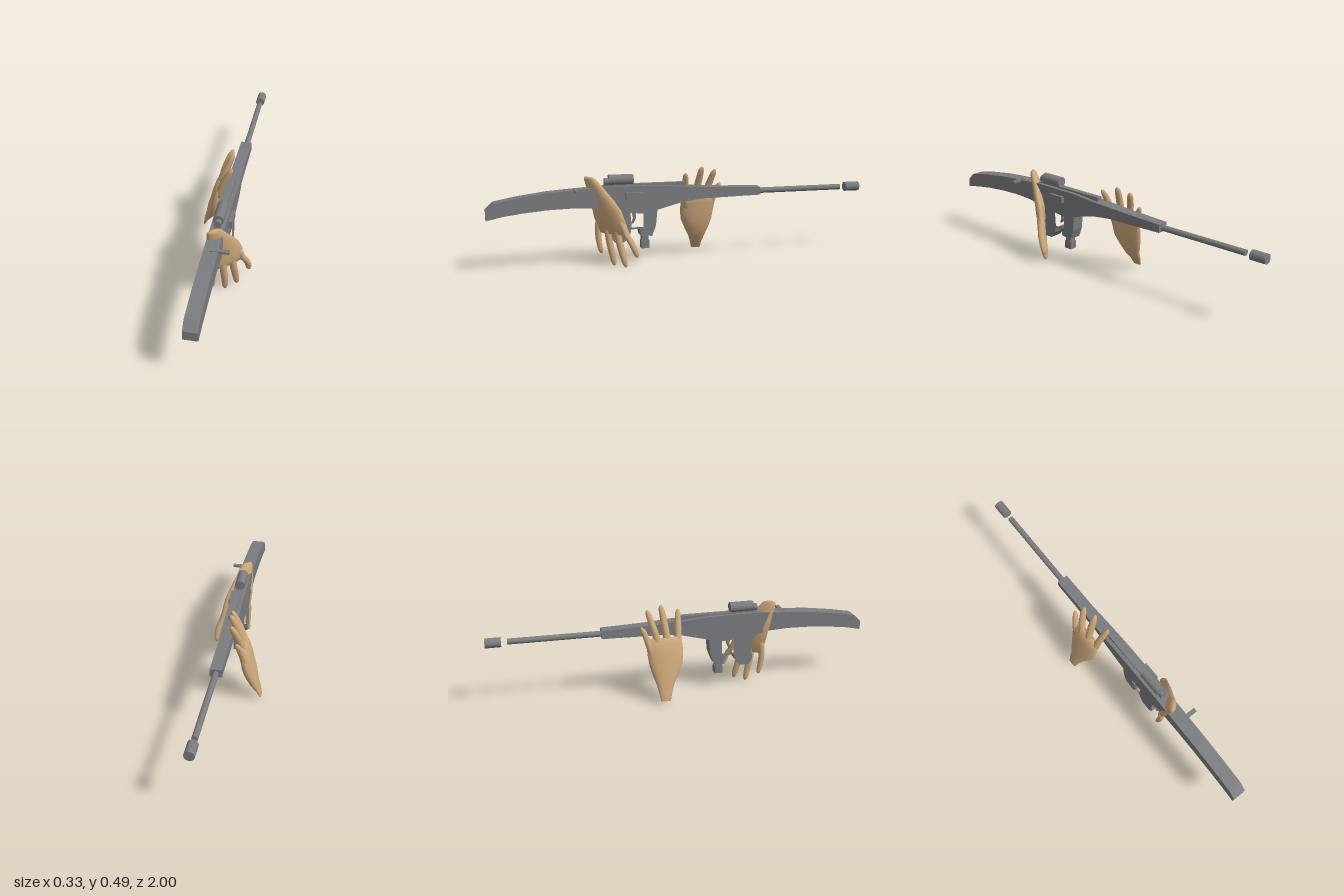
import * as THREE from 'three';

export function createModel() {
  const root = new THREE.Group();
  const metal = new THREE.MeshStandardMaterial({ color: 0x7b7c7f });
  metal.name = 'gunmetal grey';
  const skin = new THREE.MeshStandardMaterial({ color: 0xcda87b });
  skin.name = 'skin tan';
  const CX = 0.018; // centre line of the rifle

  const add = (parent, name, geo, mat, x = 0, y = 0, z = 0) => {
    const m = new THREE.Mesh(geo, mat);
    m.name = name;
    m.position.set(x, y, z);
    parent.add(m);
    return m;
  };
  const box = (name, x0, x1, y0, y1, z0, z1) => add(rifle, name,
    new THREE.BoxGeometry(x1 - x0, y1 - y0, z1 - z0), metal, (x0 + x1) / 2, (y0 + y1) / 2, (z0 + z1) / 2);
  const rod = (name, r, y, z0, z1) => add(rifle, name,
    new THREE.CylinderGeometry(r, r, z1 - z0, 20).rotateX(Math.PI / 2), metal, CX, y, (z0 + z1) / 2);
  // side profile of [z, y] points, extruded across x
  const slab = (name, pts, x0, x1, hole) => {
    const shape = new THREE.Shape(pts.map(p => new THREE.Vector2(...p)));
    if (hole) shape.holes.push(new THREE.Path(hole.map(p => new THREE.Vector2(...p))));
    const g = new THREE.ExtrudeGeometry(shape, { depth: x1 - x0, bevelEnabled: false });
    g.rotateY(-Math.PI / 2).translate(x1, 0, 0);
    return add(rifle, name, g, metal);
  };

  const rifle = new THREE.Group();
  rifle.name = 'rifle';
  root.add(rifle);

  // stock, receiver, grip and magazine well in one outline with the trigger opening
  const body = slab('stockAndReceiver', [
    [1, 0.27], [0.92, 0.287], [0.82, 0.3], [0.7, 0.31], [0.58, 0.313], [0.48, 0.308], [0.41, 0.295],
    [0.385, 0.27], [0.375, 0.22], [0.385, 0.16], [0.365, 0.125], [0.315, 0.125], [0.287, 0.16], [0.28, 0.19],
    [0.235, 0.19], [0.23, 0.155], [0.17, 0.15], [0.15, 0.205], [0.142, 0.285],
    [0, 0.322], [-0.1, 0.332], [-0.42, 0.338],
    [-0.42, 0.38], [-0.2, 0.388], [0, 0.4], [0.15, 0.412], [0.4, 0.414], [0.55, 0.405], [0.7, 0.395],
    [0.85, 0.375], [0.96, 0.355], [1, 0.318],
  ], -0.017, 0.053, [[0.215, 0.2], [0.215, 0.27], [0.283, 0.275], [0.278, 0.2]]);
  // the fore-end is a little slimmer than the stock
  const p = body.geometry.attributes.position;
  for (let i = 0; i < p.count; i++) {
    if (p.getZ(i) < -0.05) p.setX(i, CX + (p.getX(i) - CX) * 0.84);
  }

  slab('trigger', [[0.25, 0.275], [0.268, 0.275], [0.262, 0.24], [0.272, 0.215], [0.262, 0.215], [0.25, 0.24]], 0.01, 0.026);
  box('magazine', 0, 0.036, 0.12, 0.16, 0.186, 0.22);
  box('magazineFoot', -0.003, 0.039, 0.083, 0.125, 0.181, 0.224);
  box('ejectionCover', 0.05, 0.07, 0.346, 0.382, 0.215, 0.307);
  box('boltHandle', 0.035, 0.103, 0.395, 0.406, 0.545, 0.566);
  box('boltPlate', 0.012, 0.036, 0.398, 0.408, 0.5, 0.57);
  box('sightRail', 0.003, 0.033, 0.4, 0.421, -0.01, 0.41);
  rod('scope', 0.027, 0.444, 0.262, 0.388);
  rod('scopeEyepiece', 0.018, 0.437, 0.388, 0.41);
  rod('barrel', 0.015, 0.357, -0.89, -0.4);
  rod('muzzle', 0.025, 0.357, -1, -0.92);

  // smooth tube of elliptical sections [x, y, z, halfWidth, halfThickness]
  const loft = (sections, W, T, n = 16) => {
    const pos = [], idx = [], a = sections[0], b = sections[sections.length - 1];
    const along = new THREE.Vector3(b[0] - a[0], b[1] - a[1], b[2] - a[2]);
    const flip = along.dot(new THREE.Vector3().crossVectors(W, T)) < 0;
    const tri = (i, j, k) => idx.push(...(flip ? [i, k, j] : [i, j, k]));
    sections.forEach(([x, y, z, w, t]) => {
      for (let i = 0; i < n; i++) {
        const u = w * Math.cos(i / n * 2 * Math.PI), v = t * Math.sin(i / n * 2 * Math.PI);
        pos.push(x + W.x * u + T.x * v, y + W.y * u + T.y * v, z + W.z * u + T.z * v);
      }
    });
    const m = sections.length;
    pos.push(...a.slice(0, 3), ...b.slice(0, 3));
    for (let i = 0; i < n; i++) {
      const j = (i + 1) % n;
      for (let s = 0; s < m - 1; s++) {
        tri(s * n + i, s * n + j, (s + 1) * n + j);
        tri(s * n + i, (s + 1) * n + j, (s + 1) * n + i);
      }
      tri(m * n, j, i);
      tri(m * n + 1, (m - 1) * n + i, (m - 1) * n + j);
    }
    const g = new THREE.BufferGeometry();
    g.setAttribute('position', new THREE.Float32BufferAttribute(pos, 3));
    g.setIndex(idx);
    g.computeVertexNormals();
    return g;
  };

  // finger through three or more points, tapering to a rounded tip
  const finger = (pts, r, W, T) => {
    const c = new THREE.CatmullRomCurve3(pts.map(q => new THREE.Vector3(...q)));
    const taper = [[0, 1], [0.2, 1.05], [0.4, 0.98], [0.55, 1.0], [0.75, 0.9], [0.88, 0.82], [0.95, 0.6], [0.985, 0.35], [1, 0.05]];
    return loft(taper.map(([t, k]) => [...c.getPointAt(t).toArray(), r * k, r * k]), W, T, 12);
  };

  const hand = (name, palm, fingers, W, T) => {
    const g = new THREE.Group();
    g.name = name;
    root.add(g);
    add(g, 'palm', loft(palm, W, T, 20), skin);
    fingers.forEach(([r, ...pts], i) => add(g, 'finger' + (i + 1), finger(pts, r, W, T), skin));
  };

  // rear hand: wrist up over the stock, fingers hanging beside the grip
  hand('gripHand', [
    [0.012, 0.462, 0.488, 0.024, 0.008],
    [0.017, 0.45, 0.48, 0.038, 0.018],
    [0.024, 0.4, 0.453, 0.055, 0.024],
    [0.035, 0.35, 0.428, 0.075, 0.027],
    [0.045, 0.3, 0.405, 0.09, 0.028],
    [0.054, 0.25, 0.392, 0.096, 0.026],
    [0.059, 0.205, 0.383, 0.092, 0.021],
    [0.062, 0.175, 0.379, 0.078, 0.012],
  ], [
    [0.016, [-0.002, 0.24, 0.438], [-0.004, 0.17, 0.442], [-0.003, 0.11, 0.436], [-0.008, 0.06, 0.425]],
    [0.018, [0.04, 0.23, 0.402], [0.043, 0.15, 0.395], [0.047, 0.08, 0.382], [0.045, 0.004, 0.368]],
    [0.0185, [0.076, 0.23, 0.365], [0.084, 0.15, 0.352], [0.092, 0.08, 0.336], [0.097, 0.004, 0.318]],
    [0.0185, [0.105, 0.25, 0.342], [0.125, 0.18, 0.32], [0.146, 0.13, 0.292], [0.151, 0.064, 0.27]],
  ], new THREE.Vector3(0.73, 0, -0.68), new THREE.Vector3(0.68, 0, 0.73));

  // forward hand: wrist low and out to the side, fingers up along the fore-end
  hand('supportHand', [
    [-0.16, 0.025, -0.122, 0.025, 0.006],
    [-0.147, 0.06, -0.12, 0.033, 0.014],
    [-0.125, 0.1, -0.116, 0.045, 0.025],
    [-0.108, 0.15, -0.111, 0.067, 0.032],
    [-0.092, 0.2, -0.106, 0.086, 0.033],
    [-0.082, 0.25, -0.106, 0.093, 0.03],
    [-0.07, 0.3, -0.108, 0.094, 0.026],
    [-0.058, 0.335, -0.11, 0.083, 0.017],
  ], [
    [0.018, [-0.07, 0.27, -0.04], [-0.048, 0.34, -0.032], [-0.022, 0.4, -0.027], [0.01, 0.462, -0.02]],
    [0.019, [-0.07, 0.29, -0.09], [-0.05, 0.36, -0.096], [-0.025, 0.43, -0.104], [0.002, 0.492, -0.112]],
    [0.0185, [-0.075, 0.28, -0.135], [-0.058, 0.35, -0.15], [-0.04, 0.41, -0.168], [-0.012, 0.475, -0.185]],
    [0.017, [-0.085, 0.23, -0.17], [-0.075, 0.29, -0.186], [-0.064, 0.34, -0.2], [-0.045, 0.398, -0.222]],
  ], new THREE.Vector3(0, 0, 1), new THREE.Vector3(0.94, -0.34, 0));

  return root;
}
